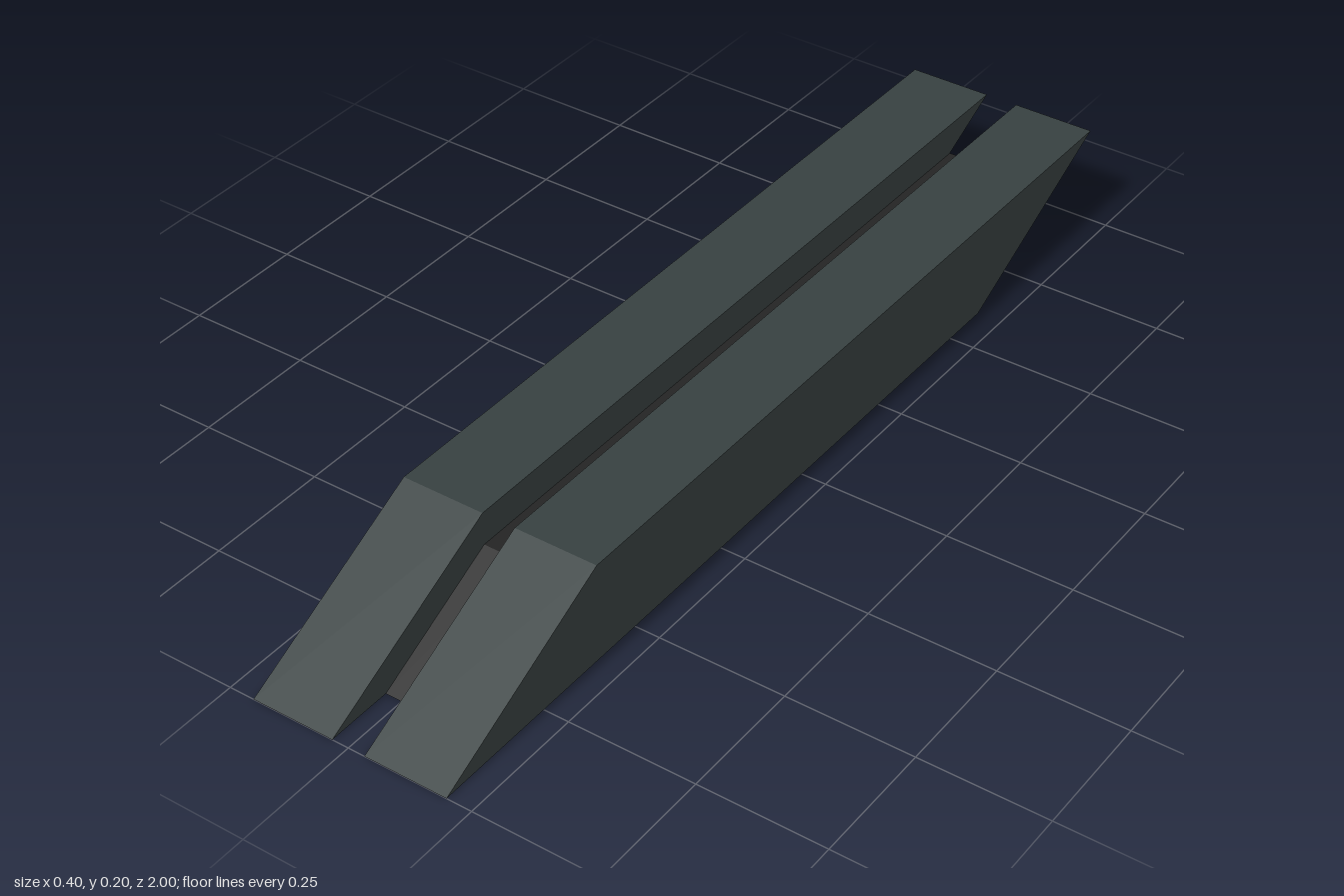
import * as THREE from 'three';

const HALF_WIDTH = 0.2, HALF_SLOT = 0.0333;

// Side profiles as [z, y], running front foot, front top, back top, back foot
const RAIL = [[1, 0], [0.6, 0.2], [-1, 0.2], [-0.6, 0]];
const CORE = [[0.8667, 0], [0.6, 0.1333], [-0.8667, 0.1333], [-0.6, 0]];

// Flat-shaded ribbon across the slot that follows a [z, y] path
function ribbon(path) {
  const pos = [];
  for (let i = 0; i < path.length - 1; i++) {
    const [z0, y0] = path[i], [z1, y1] = path[i + 1];
    const a = [-HALF_SLOT, y0, z0], b = [HALF_SLOT, y0, z0];
    const c = [HALF_SLOT, y1, z1], d = [-HALF_SLOT, y1, z1];
    pos.push(...a, ...b, ...c, ...a, ...c, ...d);
  }
  const geo = new THREE.BufferGeometry();
  geo.setAttribute('position', new THREE.Float32BufferAttribute(pos, 3));
  geo.computeVertexNormals();
  return geo;
}

export function createModel() {
  const group = new THREE.Group();
  group.name = 'slantedGroovedBar';

  const bodyMat = new THREE.MeshStandardMaterial({ color: 0x374040 });
  bodyMat.name = 'dark slate';
  const grooveMat = new THREE.MeshStandardMaterial({ color: 0x242424 });
  grooveMat.name = 'near black';

  const add = (name, geo, mat) => {
    const mesh = new THREE.Mesh(geo, mat);
    mesh.name = name;
    group.add(mesh);
    return mesh;
  };

  // Slanted rails on both sides of the slot
  const shape = new THREE.Shape(RAIL.map(([z, y]) => new THREE.Vector2(-z, y)));
  const railGeo = new THREE.ExtrudeGeometry(shape, {
    depth: HALF_WIDTH - HALF_SLOT, bevelEnabled: false,
  }).rotateY(Math.PI / 2);
  add('leftRail', railGeo, bodyMat).position.x = HALF_SLOT;
  add('rightRail', railGeo, bodyMat).position.x = -HALF_WIDTH;

  // Groove floor along the front slope and top, closed by the back and underside
  add('grooveFloor', ribbon(CORE.slice(0, 3)), grooveMat);
  add('coreUnderside', ribbon([CORE[2], CORE[3], CORE[0]]), bodyMat);

  return group;
}
